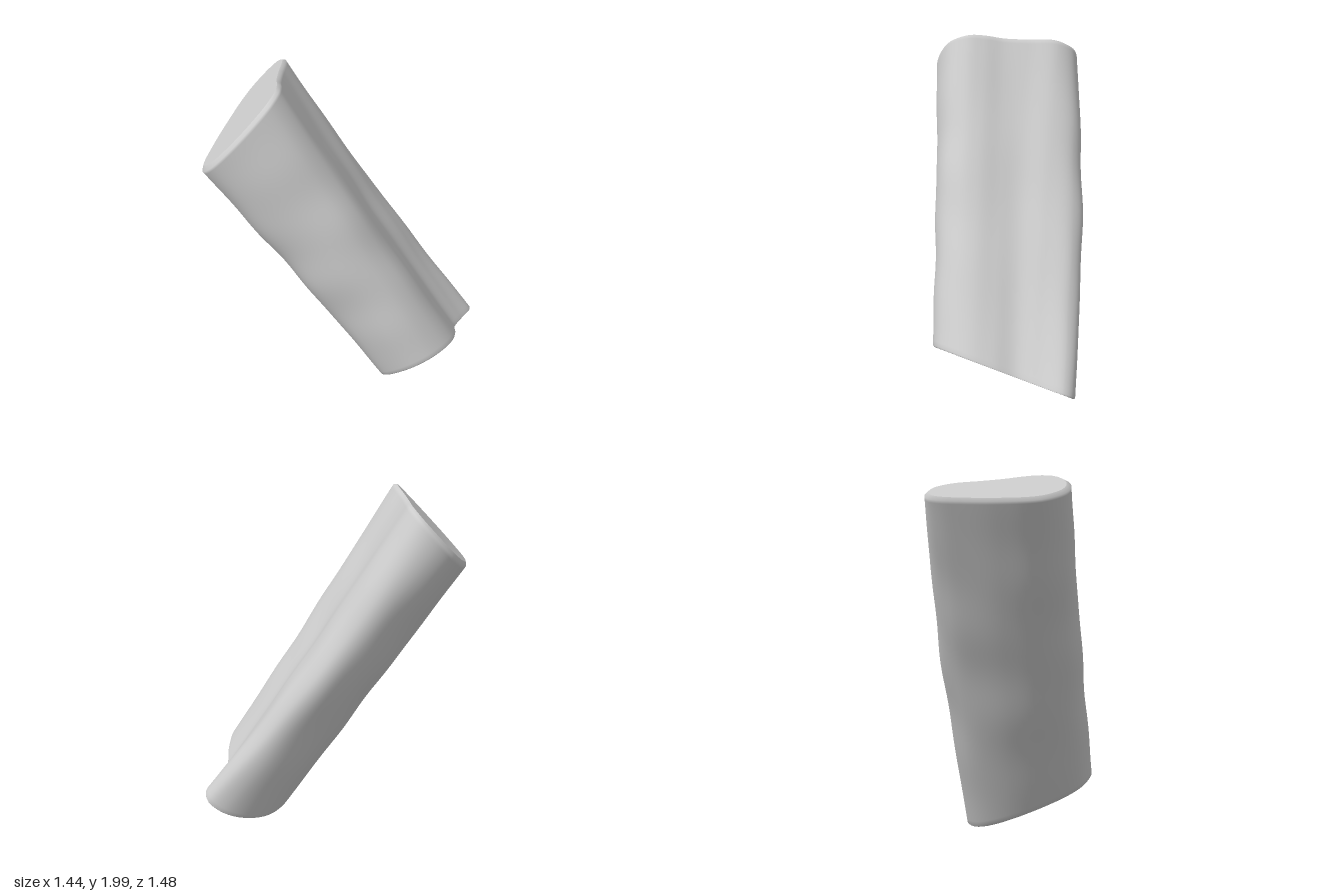
import * as THREE from 'three';

// Matching outline points of the two slanted ends.
const LOWER = [ // z, y
  [-0.738, 0.175], [-0.7, 0.213], [-0.55, 0.237], [-0.43, 0.26], [-0.32, 0.32], [-0.2, 0.366],
  [-0.09, 0.378], [0.03, 0.36], [0.125, 0.3], [0.163, 0.19], [0.12, 0.13], [0, 0.07],
  [-0.2, 0.015], [-0.37, 0], [-0.5, 0.015], [-0.63, 0.06], [-0.71, 0.115],
];
const UPPER = [ // x, z
  [-0.64, -0.068], [-0.58, -0.068], [-0.49, -0.015], [-0.385, 0.12], [-0.29, 0.235], [-0.2, 0.32],
  [-0.135, 0.4], [-0.105, 0.5], [-0.14, 0.62], [-0.23, 0.715], [-0.34, 0.745], [-0.47, 0.69],
  [-0.6, 0.48], [-0.69, 0.26], [-0.73, 0.13], [-0.735, 0.04], [-0.7, -0.03],
];
const SEGMENTS = 119;
const ROWS = 56;

// Smooth closed outline sampled at the control parameter, so both ends stay paired.
function outline(points) {
  const curve = new THREE.CatmullRomCurve3(points, true, 'centripetal');
  return Array.from({ length: SEGMENTS }, (_, i) => curve.getPoint(i / SEGMENTS));
}

const average = (ring) => ring
  .reduce((sum, p) => sum.add(p), new THREE.Vector3()).divideScalar(ring.length);

function makeGeometry(points, index) {
  const geometry = new THREE.BufferGeometry().setFromPoints(points);
  geometry.setIndex(index);
  geometry.computeVertexNormals();
  return geometry;
}

// Flat end face fanned from its centre.
function capGeometry(ring, facesUp) {
  const index = [];
  for (let i = 0; i < SEGMENTS; i++) {
    const next = (i + 1) % SEGMENTS;
    index.push(SEGMENTS, ...(facesUp ? [next, i] : [i, next]));
  }
  return makeGeometry([...ring, average(ring)], index);
}

// Bell-shaped weight around one outline point, wrapping round the ring.
function bell(position, centre, width) {
  const half = LOWER.length / 2;
  const distance = half - Math.abs(half - Math.abs(position - centre));
  return Math.exp(-((distance / width) ** 2));
}

export function createModel() {
  const group = new THREE.Group();
  group.name = 'log';
  const material = new THREE.MeshStandardMaterial({ color: 0xcccccc });

  const lower = outline(LOWER.map(([z, y]) => new THREE.Vector3(0.235 + 1.28 * y, y, z)));
  const upper = outline(UPPER.map(([x, z]) => new THREE.Vector3(x, 2.368 + 0.86 * x - 0.63 * z, z)));

  // Cross-sections along the length: faint waviness, a swelling lobe and a groove beside it.
  const rings = [];
  for (let r = 0; r <= ROWS; r++) {
    const t = r / ROWS;
    const fade = Math.sin(Math.PI * t);
    const ring = lower.map((p, i) => p.clone().lerp(upper[i], t));
    const centre = average(ring);
    ring.forEach((p, i) => {
      const position = (i / SEGMENTS) * LOWER.length;
      const angle = (i / SEGMENTS) * Math.PI * 2;
      const wave = 0.01 * Math.sin(17 * t + 2 * angle) + 0.006 * Math.sin(27 * t - 3 * angle);
      const groove = 0.07 * bell(position, 3.4, 1.1);
      p.sub(centre).multiplyScalar(1 + (wave - groove) * fade).add(centre);
      const lobe = fade * bell(position, 0, 1.5);
      p.x -= 0.06 * lobe;
      p.z -= 0.012 * lobe;
    });
    rings.push(ring);
  }

  // Softly rounded rims, tighter at the foot than at the head.
  const inset = (ring, amount) => {
    const centre = average(ring);
    return ring.map((p) => p.clone().lerp(centre, amount));
  };
  const foot = inset(rings[0], 0.02);
  const head = inset(rings[ROWS], 0.06);
  rings[ROWS] = rings[ROWS].map((p, i) => p.clone().lerp(rings[ROWS - 1][i], 0.5));
  rings[0] = rings[0].map((p, i) => p.clone().lerp(rings[1][i], 0.25));
  rings.unshift(foot);
  rings.push(head);

  const index = [];
  for (let r = 0; r < rings.length - 1; r++) {
    for (let i = 0; i < SEGMENTS; i++) {
      const next = (i + 1) % SEGMENTS;
      const a = r * SEGMENTS + i, b = r * SEGMENTS + next;
      const c = a + SEGMENTS, d = b + SEGMENTS;
      index.push(a, d, b, a, c, d);
    }
  }

  const add = (name, geometry) => {
    const mesh = new THREE.Mesh(geometry, material);
    mesh.name = name;
    group.add(mesh);
  };
  add('bark', makeGeometry(rings.flat(), index));
  add('upperCutFace', capGeometry(head, true));
  add('lowerCutFace', capGeometry(foot, false));
  return group;
}
